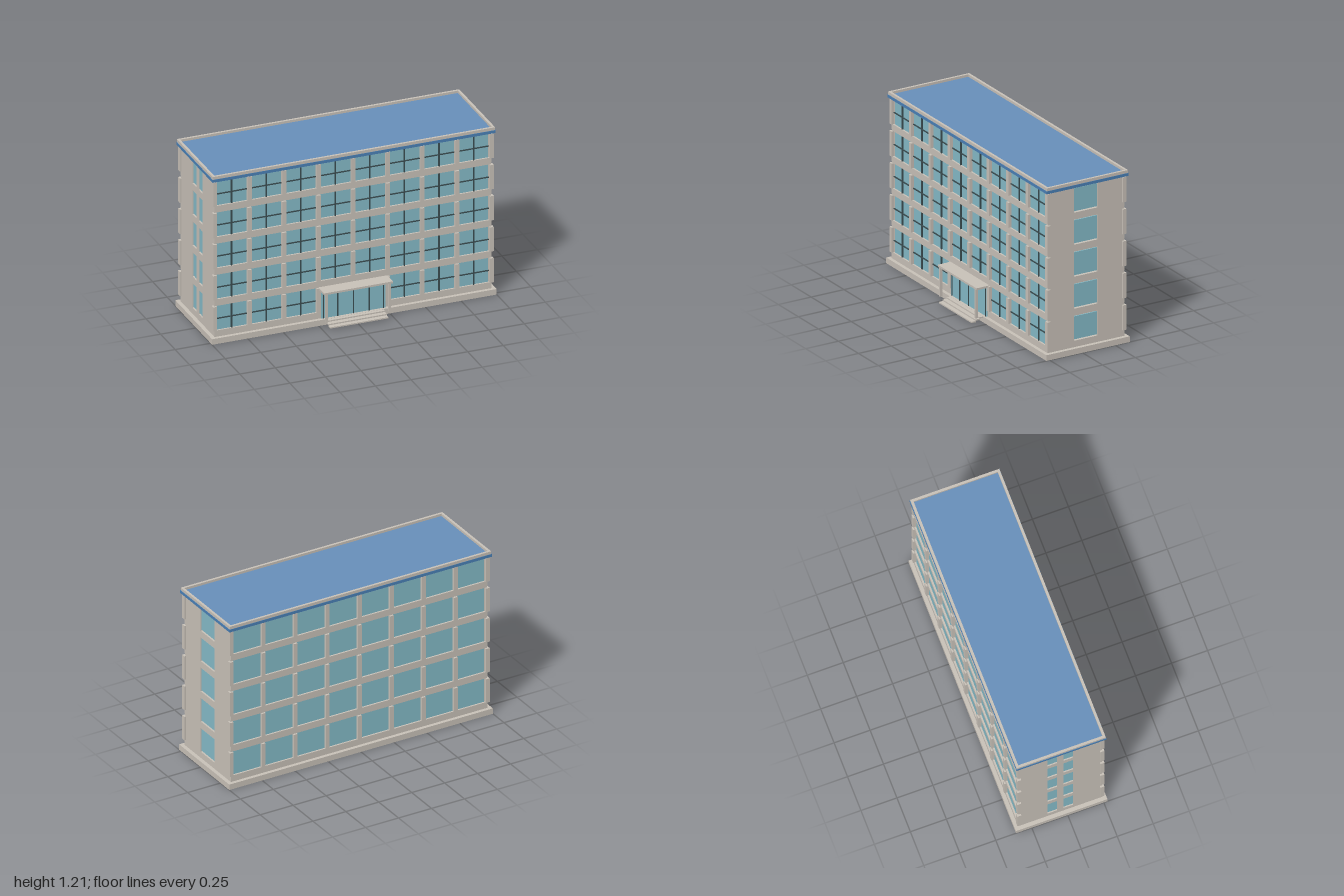
import * as THREE from 'three';

const mat = (name, color) => {
  const m = new THREE.MeshStandardMaterial({ color });
  m.name = name;
  return m;
};

export function createModel() {
  const root = new THREE.Group();
  root.name = 'officeBuilding';
  const wall = mat('warm grey concrete', 0xc8c1b8);
  const glass = mat('teal glass', 0x84bac7);
  const frame = mat('dark frame', 0x3a4c50);
  const roofBlue = mat('roof blue', 0x678fba);
  const trimBlue = mat('fascia blue', 0x4a80b6);

  // Box given by its lower and upper limits on each axis
  const box = (name, m, x0, x1, y0, y1, z0, z1, parent = root) => {
    const mesh = new THREE.Mesh(new THREE.BoxGeometry(x1 - x0, y1 - y0, z1 - z0), m);
    mesh.position.set((x0 + x1) / 2, (y0 + y1) / 2, (z0 + z1) / 2);
    mesh.name = name;
    parent.add(mesh);
    return mesh;
  };

  const floors = 5, bays = 8, pitch = 0.2245, bay = 0.243;
  const X = 0.973, front = 0.25, back = -0.335;
  const winBack = -0.13, winFront = 0.047;

  // Plinth
  box('plinth', wall, -1, 1, 0, 0.04, -0.36, 0.275);

  for (let f = 0; f < floors; f++) {
    const floor = new THREE.Group();
    floor.name = 'floor' + (f + 1);
    floor.position.y = f * pitch;
    root.add(floor);

    // Spandrel below the windows and slightly recessed lintel above
    box('spandrel', wall, -X, X, f ? 0.048 : 0.04, 0.085, back, front, floor);
    box('lintel', wall, -X, X, 0.26, f === floors - 1 ? 0.268 : 0.2725, back + 0.004, front - 0.004, floor);

    // End walls with a window opening
    for (const s of [-1, 1]) {
      const a = s < 0 ? -X : X - 0.02, b = a + 0.02;
      box('endWallFront', wall, a, b, 0.085, 0.26, winFront, front - 0.012, floor);
      box('endWallBack', wall, a, b, 0.085, 0.26, back + 0.012, winBack, floor);
      box('endWindow', glass, a + 0.006, b - 0.006, 0.092, 0.253, winBack, winFront, floor);
    }
    box('endWindowPier', wall, -X, -X + 0.02, 0.085, 0.26, -0.064, -0.02, floor);

    // Long window strips
    box('frontWindows', glass, -X + 0.01, X - 0.01, 0.085, 0.26, front - 0.018, front - 0.012, floor);
    box('backWindows', glass, -X + 0.01, X - 0.01, 0.085, 0.26, back + 0.012, back + 0.018, floor);

    // Pilasters between the bays
    for (let i = 0; i <= bays; i++) {
      const x = (i - bays / 2) * bay;
      const h = i === 0 || i === bays ? 0.0135 : 0.014;
      if (f > 0 || i !== bays / 2) {
        box('frontPilaster', wall, x - h, x + h, 0.085, 0.26, front - 0.018, front + 0.01, floor);
      }
      box('backPilaster', wall, x - h, x + h, 0.085, 0.26, back - 0.01, back + 0.018, floor);
    }

    // Window bars on the front
    for (let i = 0; i < bays; i++) {
      if (f === 0 && (i === 3 || i === 4)) continue;
      const x = (i - bays / 2 + 0.5) * bay;
      box('mullion', frame, x - 0.004, x + 0.004, 0.085, 0.26, front - 0.013, front - 0.004, floor);
      box('transom', frame, x - 0.107, x + 0.107, 0.164, 0.171, front - 0.013, front - 0.005, floor);
    }
  }

  // Roof: fascia, deck and parapet
  box('fascia', trimBlue, -0.995, 0.995, 1.165, 1.185, -0.355, 0.27);
  box('roofDeck', roofBlue, -0.98, 0.98, 1.184, 1.188, -0.34, 0.255);
  box('parapetFront', wall, -0.992, 0.992, 1.185, 1.205, 0.25, 0.267);
  box('parapetBack', wall, -0.992, 0.992, 1.185, 1.205, -0.352, -0.335);
  for (const s of [-1, 1]) {
    box('parapetSide', wall, s * 0.9835 - 0.0085, s * 0.9835 + 0.0085, 1.185, 1.205, -0.335, 0.25);
  }

  // Entrance
  const entrance = new THREE.Group();
  entrance.name = 'entrance';
  root.add(entrance);
  box('entranceGlass', glass, -0.225, 0.225, 0.04, 0.25, front - 0.012, 0.256, entrance);
  for (const x of [-0.21, 0, 0.21]) {
    box('doorFrame', frame, x - 0.003, x + 0.003, 0.04, 0.248, 0.25, 0.26, entrance);
  }
  for (const x of [-0.11, 0.11]) {
    box('doorBar', frame, x - 0.005, x + 0.005, 0.04, 0.205, 0.25, 0.262, entrance);
  }
  box('doorHead', frame, -0.21, 0.21, 0.243, 0.248, 0.25, 0.26, entrance);
  box('canopy', wall, -0.242, 0.242, 0.25, 0.264, 0.245, 0.345, entrance);
  for (const s of [-1, 1]) {
    box('canopyPost', wall, s * 0.222 - 0.008, s * 0.222 + 0.008, 0.048, 0.25, 0.328, 0.344, entrance);
  }
  for (let i = 0; i < 3; i++) {
    const z = 0.36 - i * 0.03;
    box('step', wall, -0.205, 0.205, 0.01 + i * 0.01, 0.019 + i * 0.01, z - 0.032, z, entrance);
  }
  return root;
}
